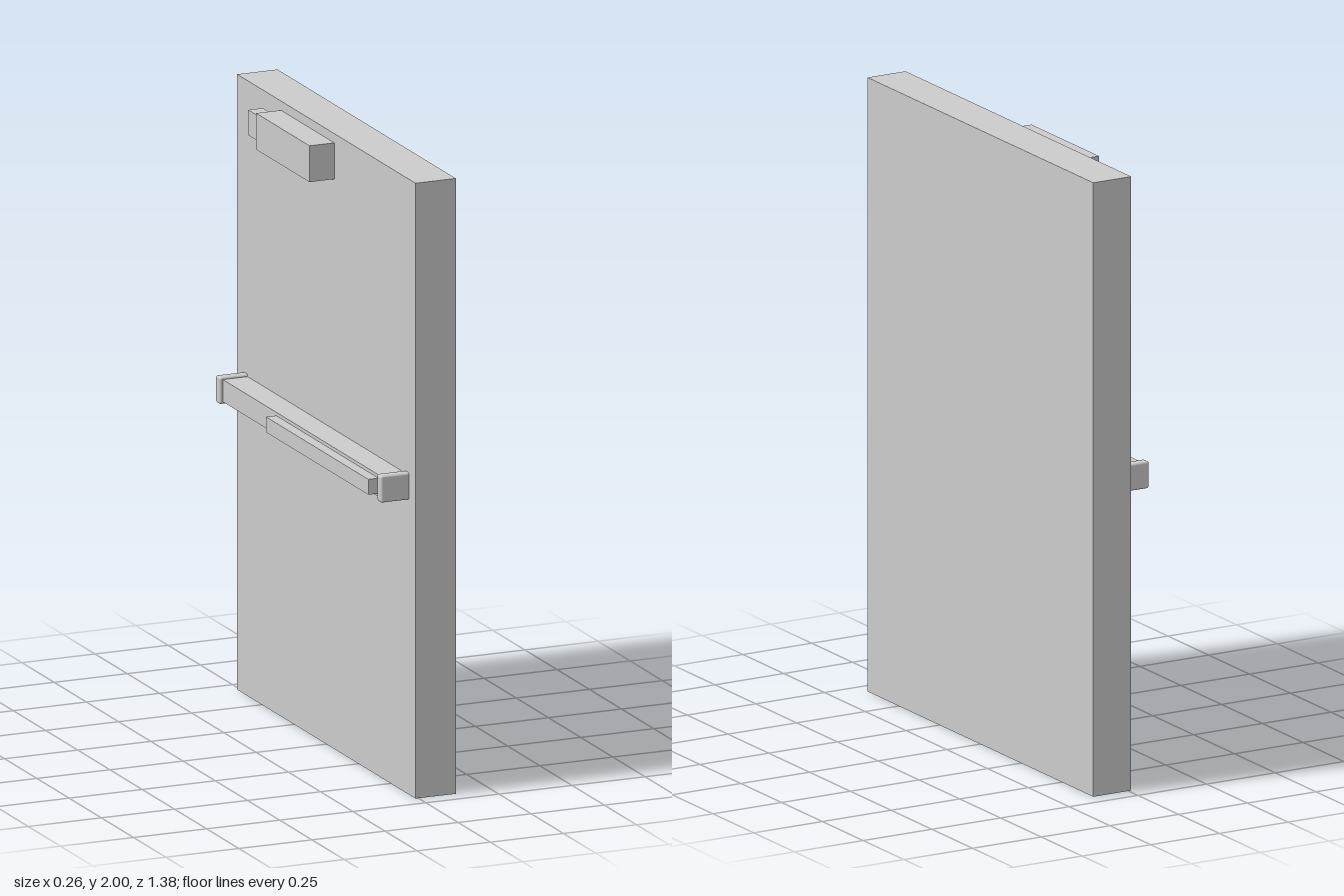
import * as THREE from 'three';
import { RoundedBoxGeometry } from 'three/addons/geometries/RoundedBoxGeometry.js';

const material = new THREE.MeshStandardMaterial({ color: 0xcccccc });

// Adds a box given by its min and max on each axis; a radius rounds its edges
function addBox(parent, name, [x0, x1], [y0, y1], [z0, z1], radius = 0) {
  const size = [x1 - x0, y1 - y0, z1 - z0];
  const geometry = radius
    ? new RoundedBoxGeometry(...size, 3, radius)
    : new THREE.BoxGeometry(...size);
  const mesh = new THREE.Mesh(geometry, material);
  mesh.name = name;
  mesh.position.set((x0 + x1) / 2, (y0 + y1) / 2, (z0 + z1) / 2);
  parent.add(mesh);
  return mesh;
}

function addGroup(parent, name) {
  const group = new THREE.Group();
  group.name = name;
  parent.add(group);
  return group;
}

export function createModel() {
  const model = new THREE.Group();
  model.name = 'door';
  const face = -0.01; // door surface that carries the hardware

  // Door leaf
  addBox(model, 'doorPanel', [face, 0.128], [0, 2], [-0.692, 0.692]);

  // Door closer near the top edge
  const closer = addGroup(model, 'doorCloser');
  addBox(closer, 'closerBody', [-0.095, face], [1.852, 1.97], [-0.352, 0.062]);
  addBox(closer, 'closerEnd', [-0.076, -0.026], [1.87, 1.952], [-0.456, -0.352]);

  // Panic bar: rail, push pad and two rounded end caps
  const panicBar = addGroup(model, 'panicBar');
  addBox(panicBar, 'rail', [-0.095, face], [0.966, 1.038], [-0.615, 0.615]);
  addBox(panicBar, 'pushPad', [-0.13, -0.094], [0.977, 1.027], [-0.196, 0.598]);
  for (const side of [-1, 1]) {
    const z = side * 0.626;
    addBox(panicBar, side < 0 ? 'backEndCap' : 'frontEndCap',
      [-0.106, face + 0.007], [0.958, 1.046], [z - 0.016, z + 0.016], 0.007);
  }

  return model;
}
